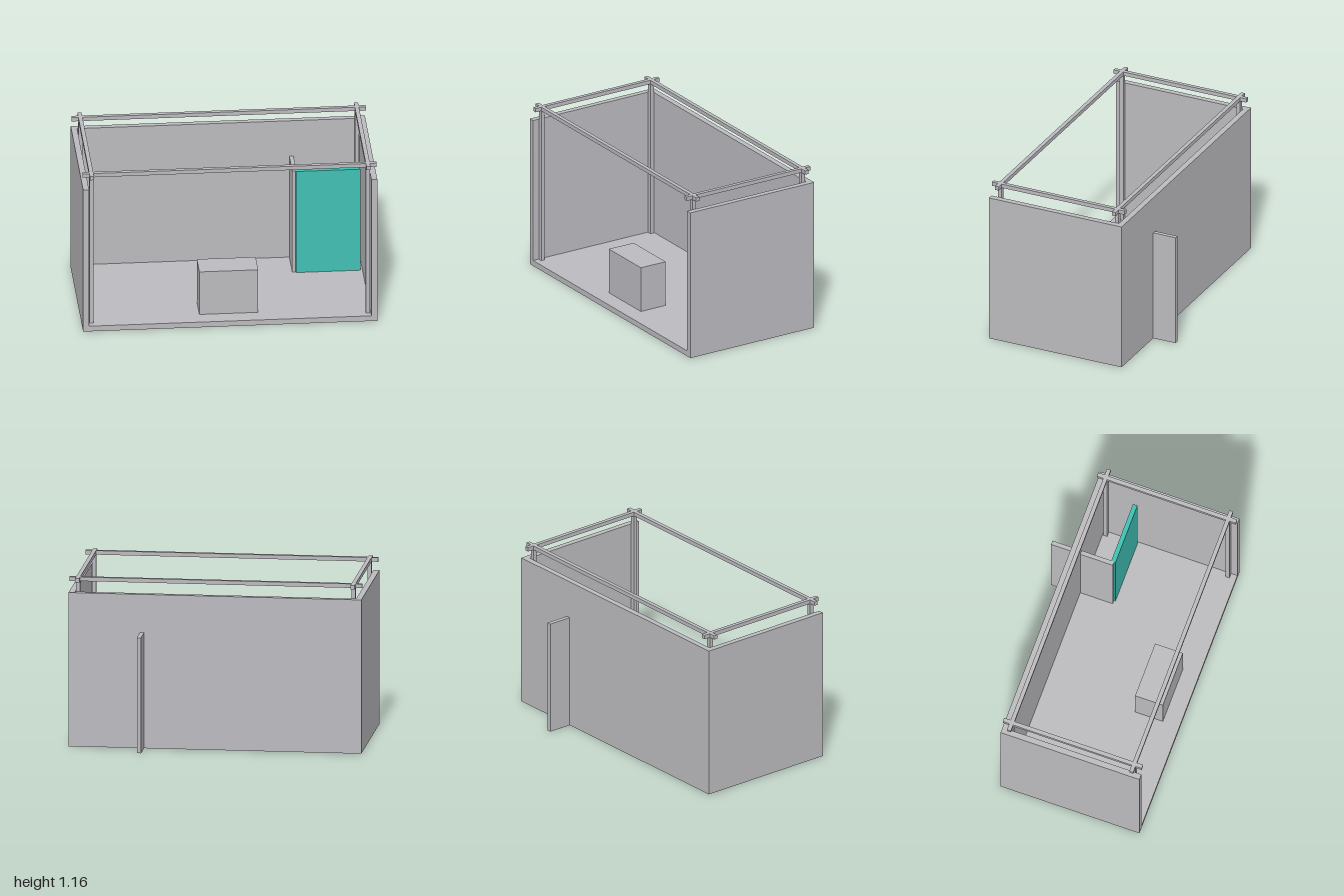
import * as THREE from 'three';

export function createModel() {
  const group = new THREE.Group();
  const grey = new THREE.MeshStandardMaterial({ color: 0xbbbbbf });
  grey.name = 'lightGrey';
  const teal = new THREE.MeshStandardMaterial({ color: 0x40c0b4 });
  teal.name = 'turquoise';

  // Box given by its min and max on each axis
  function box(name, [x0, x1], [y0, y1], [z0, z1], material = grey) {
    const mesh = new THREE.Mesh(new THREE.BoxGeometry(x1 - x0, y1 - y0, z1 - z0), material);
    mesh.position.set((x0 + x1) / 2, (y0 + y1) / 2, (z0 + z1) / 2);
    mesh.name = name;
    group.add(mesh);
  }

  const back = -0.415, front = 0.585, wall = 0.04, top = 1.065;
  const base = 0.001; // leaves the door's lower edge visible underneath
  const around = (c, half = 0.014) => [c - half, c + half];

  // Room shell, open at the front and top
  box('floor', [-1, 1], [base, wall], [back, front]);
  box('backWall', [-1, 1], [wall, top], [back, back + wall]);
  box('rightWall', [-1, -1 + wall], [wall, top], [back + wall, front]);
  box('leftWall', [1 - wall, 1], [wall, top], [back + wall, front]);

  // Corner posts carrying a frame of crossing beams
  const postX = [-0.94, 0.94], postZ = [-0.355, 0.526];
  const beamY = [1.137, 1.165];
  for (const x of postX) {
    for (const z of postZ) box('post', around(x), [wall, beamY[0]], around(z));
    box('sideBeam', around(x), beamY, [back, front]);
  }
  for (const z of postZ) box('longBeam', [-1, 1], beamY, around(z));

  // Counter near the front
  box('counter', [-0.2, 0.2], [wall, 0.36], [0.266, 0.466]);

  // Corner closet: partition running out through the back wall, and its door
  box('partition', [0.483, 0.512], [base, 0.8], [-0.585, -0.141]);
  box('door', [0.507, 0.945], [0, 0.8], [-0.162, -0.13], teal);

  return group;
}
